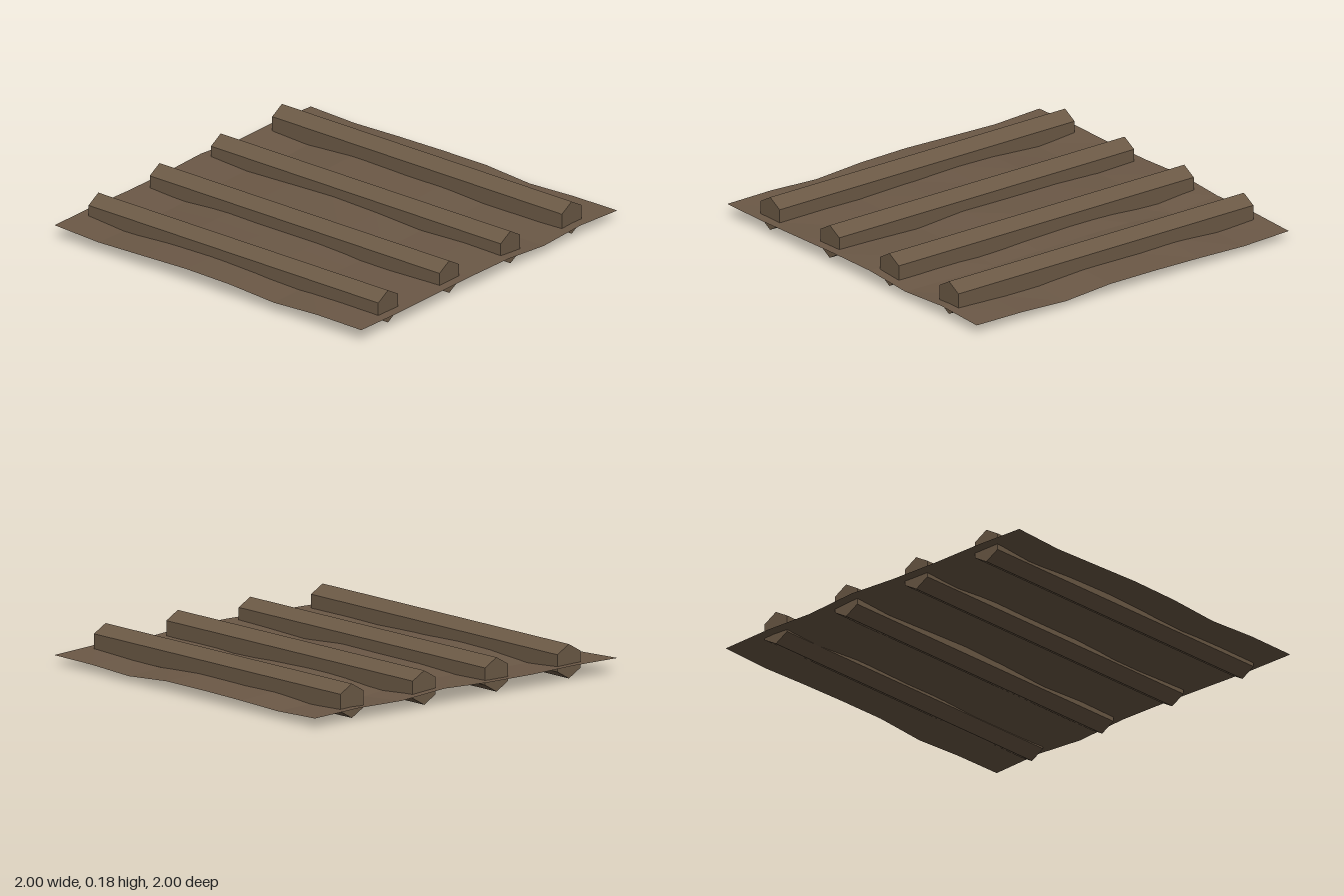
import * as THREE from 'three';

// Height of the rumpled sheet at its eight grid lines across x, and its offset along z
const ACROSS = [0.068, 0.066, 0.064, 0.067, 0.071, 0.047, 0.056, 0.043];
const ALONG = [0.007, -0.009, 0.006, 0.008, 0.005, -0.009, -0.003, 0];

function makeSheet(material) {
  const geometry = new THREE.PlaneGeometry(2, 2, 7, 7).rotateX(-Math.PI / 2);
  const position = geometry.attributes.position;
  for (let i = 0; i < position.count; i++) {
    const col = i % 8, row = Math.floor(i / 8);
    const ripple = 0.004 * Math.sin(col * 1.7 + row * 2.3);
    position.setY(i, ACROSS[col] + ALONG[row] + ripple);
  }
  geometry.computeVertexNormals();
  const sheet = new THREE.Mesh(geometry, material);
  sheet.name = 'rumpledSheet';
  return sheet;
}

export function createModel() {
  const group = new THREE.Group();
  group.name = 'logPlatform';

  // Thin uneven ground sheet
  group.add(makeSheet(new THREE.MeshStandardMaterial({
    color: 0x6b5846, flatShading: true, side: THREE.DoubleSide,
  })));

  // Four hexagonal logs, ridge upwards, half sunk in the sheet
  const logMaterial = new THREE.MeshStandardMaterial({ color: 0x6b5945, flatShading: true });
  const radius = 0.088;
  const logGeometry = new THREE.CylinderGeometry(radius, radius, 1.89, 6).rotateX(Math.PI / 2);
  for (let i = 0; i < 4; i++) {
    const log = new THREE.Mesh(logGeometry, logMaterial);
    log.name = `log${i + 1}`;
    log.position.set(-0.725 + i * 0.478, radius, 0);
    group.add(log);
  }
  return group;
}
